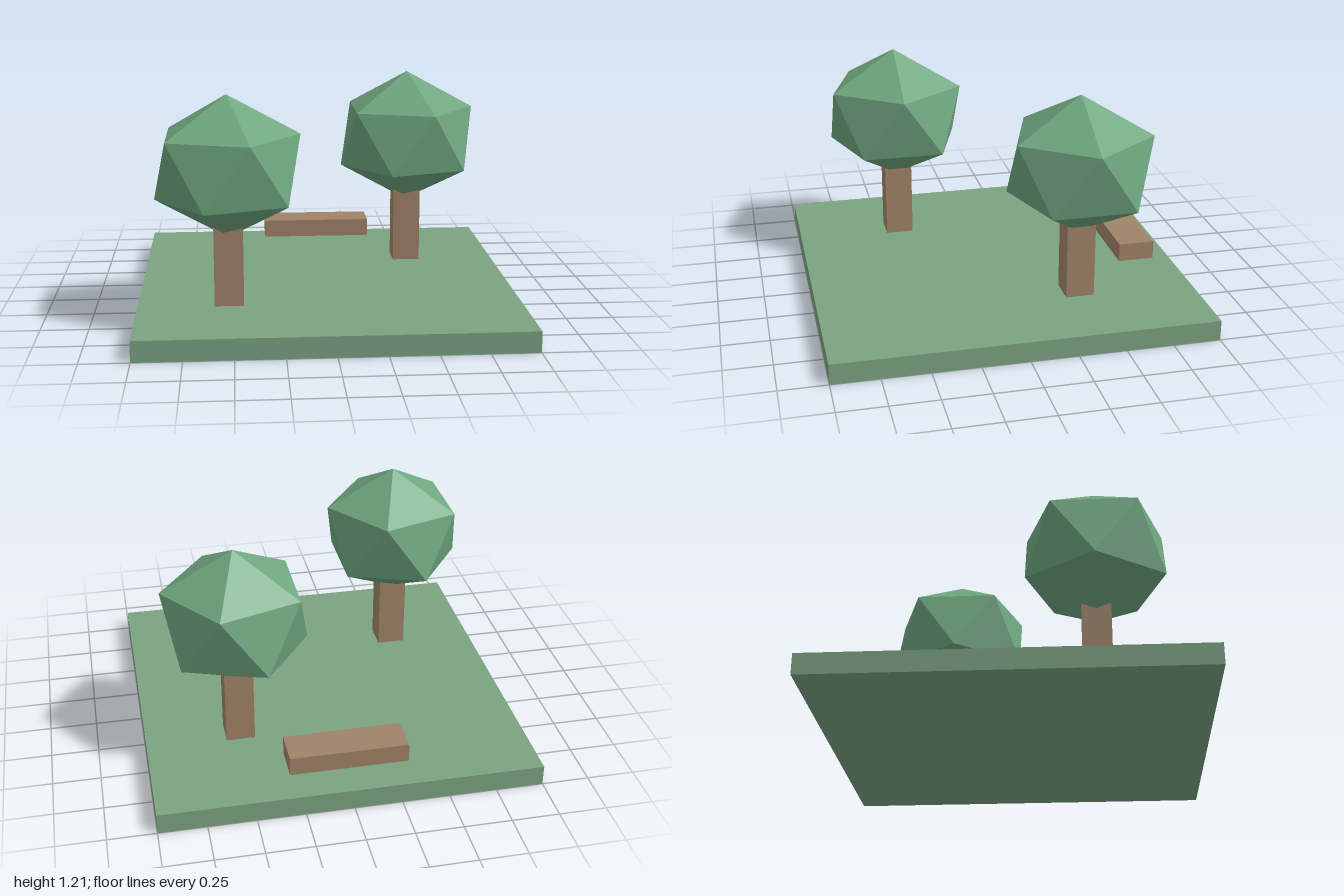
import * as THREE from 'three';
import { ConvexGeometry } from 'three/addons/geometries/ConvexGeometry.js';

const material = (color) => new THREE.MeshStandardMaterial({ color, flatShading: true });

// Vertex-up, slightly squashed icosahedron: two apexes and two staggered rings of five
function crownGeometry(radius, halfHeight, ringY) {
  const points = [new THREE.Vector3(0, halfHeight, 0), new THREE.Vector3(0, -halfHeight, 0)];
  for (let i = 0; i < 5; i++) {
    const a = (i / 5) * Math.PI * 2;
    const x = Math.cos(a) * radius, z = Math.sin(a) * radius;
    points.push(new THREE.Vector3(x, ringY, z), new THREE.Vector3(-x, -ringY, -z));
  }
  return new ConvexGeometry(points);
}

export function createModel() {
  const model = new THREE.Group();
  model.name = 'park';
  const grass = material(0x7ba381);
  const leaves = material(0x6fa67f);
  const wood = material(0xa08369);

  const add = (parent, name, geometry, mat, x, y, z) => {
    const mesh = new THREE.Mesh(geometry, mat);
    mesh.name = name;
    mesh.position.set(x, y, z);
    parent.add(mesh);
  };

  // Square lawn slab
  add(model, 'lawn', new THREE.BoxGeometry(2, 0.11, 2), grass, 0, 0.055, 0);

  // Two identical trees on opposite corners
  const trunk = new THREE.BoxGeometry(0.152, 0.42, 0.152);
  const crown = crownGeometry(0.376, 0.373, 0.167);
  const spots = { leftTree: [0.5, -0.375], rightTree: [-0.525, 0.425] };
  for (const [name, [x, z]] of Object.entries(spots)) {
    const tree = new THREE.Group();
    tree.name = name;
    tree.position.set(x, 0, z);
    add(tree, 'trunk', trunk, wood, 0, 0.315, 0);
    add(tree, 'crown', crown, leaves, 0, 0.832, 0);
    model.add(tree);
  }

  // Bench plank hovering above the lawn
  add(model, 'bench', new THREE.BoxGeometry(0.62, 0.1, 0.195), wood, 0, 0.208, -0.775);

  return model;
}
